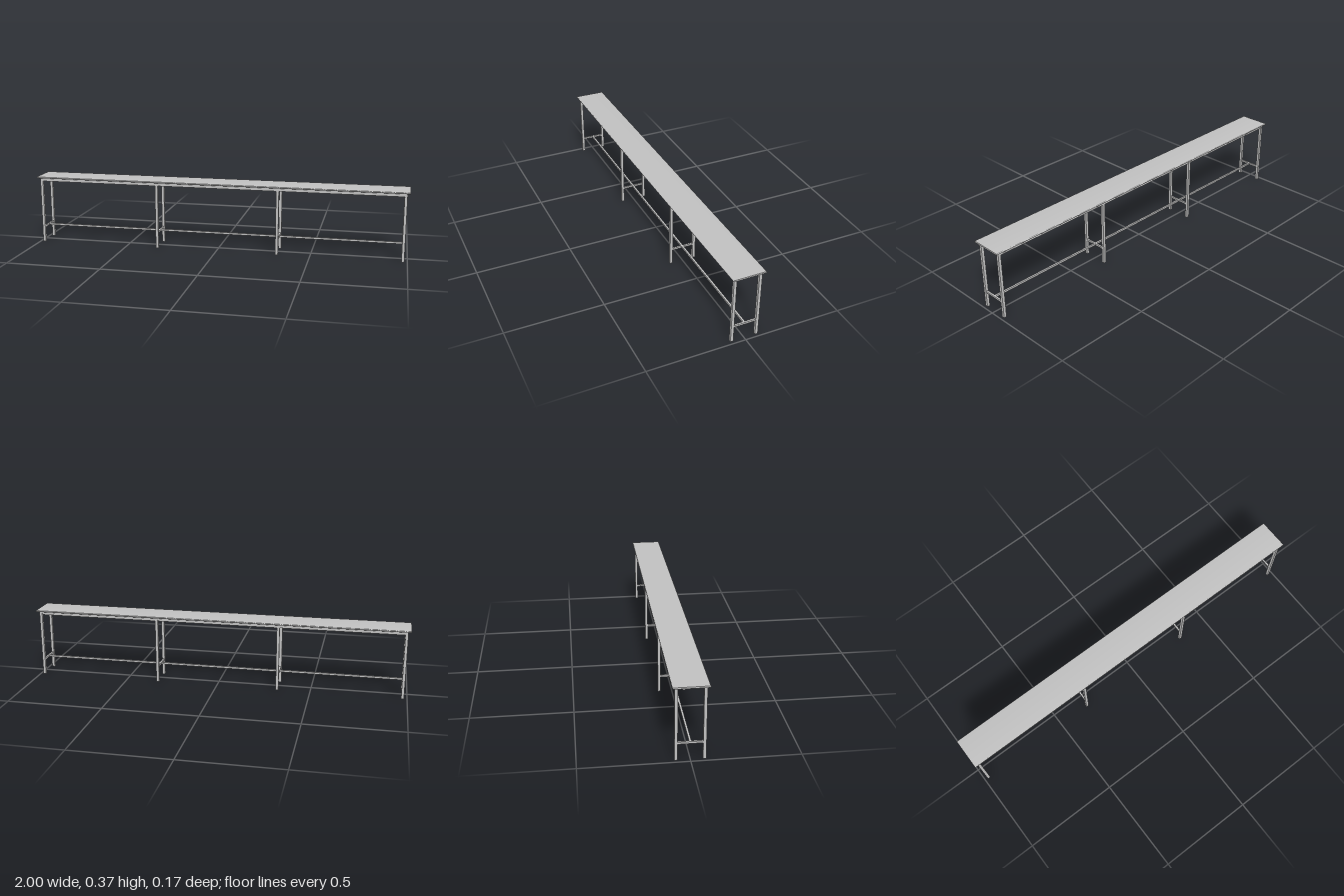
import * as THREE from 'three';
import { toCreasedNormals } from 'three/addons/utils/BufferGeometryUtils.js';

const grey = new THREE.MeshStandardMaterial({ color: 0xc0c0c0 });
grey.name = 'light grey';

const TOP_Y = 0.367, TOP_T = 0.008, TOP_W = 0.166;
const UNDER = TOP_Y - TOP_T;
const LEG = 0.0145, LEG_Z = 0.064, LEG_X = 0.977;
const RAIL = 0.01, RAIL_Y = 0.084;

function bar(name, w, h, d, x, y, z) {
  const mesh = new THREE.Mesh(new THREE.BoxGeometry(w, h, d), grey);
  mesh.name = name;
  mesh.position.set(x, y, z);
  return mesh;
}

// Board with rounded long edges: profile in z/y, extruded along x
function tableTop() {
  const r = TOP_T * 0.48, hw = TOP_W / 2, hh = TOP_T / 2;
  const s = new THREE.Shape();
  s.moveTo(-hw + r, -hh);
  s.lineTo(hw - r, -hh);
  s.absarc(hw - r, -hh + r, r, -Math.PI / 2, 0);
  s.absarc(hw - r, hh - r, r, 0, Math.PI / 2);
  s.lineTo(-hw + r, hh);
  s.absarc(-hw + r, hh - r, r, Math.PI / 2, Math.PI);
  s.absarc(-hw + r, -hh + r, r, Math.PI, Math.PI * 1.5);
  let geo = new THREE.ExtrudeGeometry(s, { depth: 2, bevelEnabled: false, curveSegments: 6 });
  geo.translate(0, 0, -1);
  geo.rotateY(Math.PI / 2);
  geo = toCreasedNormals(geo, 0.6);
  const mesh = new THREE.Mesh(geo, grey);
  mesh.name = 'tableTop';
  mesh.position.y = TOP_Y - hh;
  return mesh;
}

export function createModel() {
  const group = new THREE.Group();
  group.name = 'longTable';
  group.add(tableTop());

  const step = (2 * LEG_X) / 3;

  // Four leg frames, each a pair of legs joined by a low cross rail
  for (let i = 0; i < 4; i++) {
    const x = -LEG_X + i * step;
    const frame = new THREE.Group();
    frame.name = 'legFrame';
    frame.position.x = x;
    for (const s of [1, -1]) {
      frame.add(bar(s > 0 ? 'frontLeg' : 'backLeg', LEG, UNDER, LEG, 0, UNDER / 2, s * LEG_Z));
    }
    frame.add(bar('crossRail', RAIL, RAIL, 2 * LEG_Z - LEG, 0, RAIL_Y, 0));
    group.add(frame);
  }

  // Rails between neighbouring frames: two under the top, one low in the middle
  const railH = 0.017;
  for (let i = 0; i < 3; i++) {
    const x = -LEG_X + (i + 0.5) * step;
    for (const s of [1, -1]) {
      group.add(bar(s > 0 ? 'frontTopRail' : 'backTopRail', step - LEG, railH, RAIL, x, UNDER - railH / 2, s * LEG_Z));
    }
    group.add(bar('footRail', step - RAIL, RAIL, RAIL, x, RAIL_Y, 0));
  }
  return group;
}
